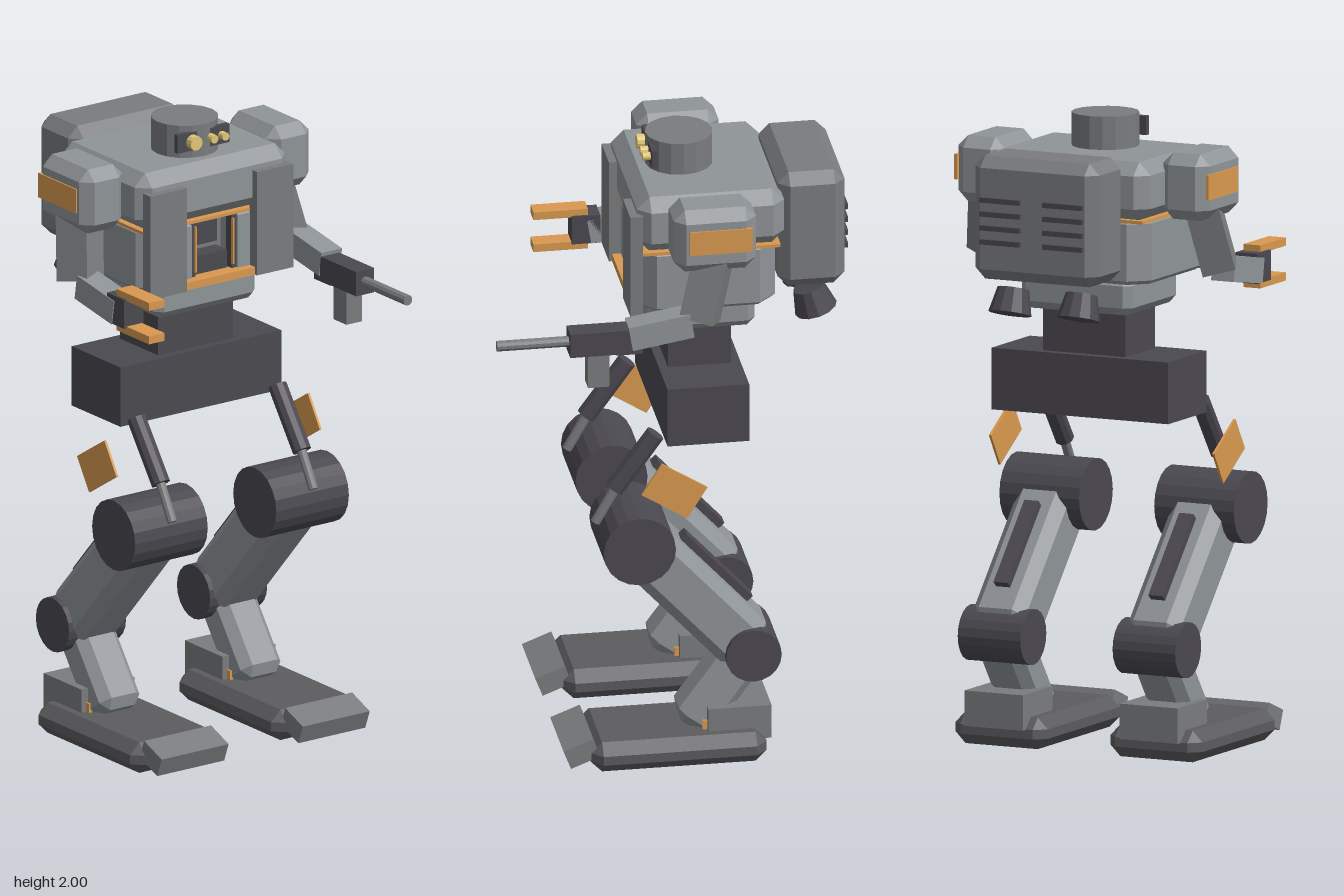
import * as THREE from 'three';
import { ConvexGeometry } from 'three/addons/geometries/ConvexGeometry.js';

const mat = (color) => new THREE.MeshStandardMaterial({ color, flatShading: true });
const V = (x, y, z) => new THREE.Vector3(x, y, z);

export function createModel() {
  const root = new THREE.Group();
  const HULL = mat(0x8f9498), PLATE = mat(0x7a7c7e), DARK = mat(0x4b4950);
  const ORANGE = mat(0xd9994f), LENS = mat(0xe3c878);

  function add(parent, name, geo, m, x = 0, y = 0, z = 0, rx = 0) {
    const mesh = new THREE.Mesh(geo, m);
    mesh.name = name;
    mesh.position.set(x, y, z);
    mesh.rotation.x = rx;
    parent.add(mesh);
    return mesh;
  }
  const box = (w, h, d) => new THREE.BoxGeometry(w, h, d);

  // Box with every edge and corner chamfered
  function chamferBox(w, h, d, c) {
    const a = w / 2, b = h / 2, e = d / 2, pts = [];
    for (const i of [-1, 1]) for (const j of [-1, 1]) for (const k of [-1, 1]) {
      pts.push(V(i * a, j * (b - c), k * (e - c)),
        V(i * (a - c), j * b, k * (e - c)),
        V(i * (a - c), j * (b - c), k * e));
    }
    return new ConvexGeometry(pts);
  }

  // Part given by its limits on each axis, chamfered when c > 0
  function block(parent, name, m, [x0, x1], [y0, y1], [z0, z1], c = 0) {
    const s = [x1 - x0, y1 - y0, z1 - z0];
    return add(parent, name, c ? chamferBox(...s, c) : box(...s), m,
      (x0 + x1) / 2, (y0 + y1) / 2, (z0 + z1) / 2);
  }

  // Geometry standing along y, laid from point p to point q
  function limb(parent, name, make, m, p, q) {
    const dir = q.clone().sub(p), len = dir.length();
    const mesh = add(parent, name, make(len), m);
    mesh.position.copy(p).add(q).multiplyScalar(0.5);
    mesh.quaternion.setFromUnitVectors(V(0, 1, 0), dir.normalize());
    return mesh;
  }

  // Head with visor and three lenses
  const head = new THREE.Group();
  head.name = 'head';
  root.add(head);
  add(head, 'turret', new THREE.CylinderGeometry(0.106, 0.106, 0.12, 16), PLATE, 0, 1.94, -0.068);
  block(head, 'visor', DARK, [-0.1, 0.1], [1.92, 1.98], [0.015, 0.033]);
  for (const [x, r] of [[-0.045, 0.023], [0.025, 0.014], [0.068, 0.013]]) {
    add(head, 'lens', new THREE.CylinderGeometry(r, r, 0.03, 12), LENS, x, 1.95, 0.043, Math.PI / 2);
  }

  // Torso
  const torso = new THREE.Group();
  torso.name = 'torso';
  root.add(torso);
  block(torso, 'upperHull', HULL, [-0.29, 0.29], [1.71, 1.895], [-0.36, 0.105], 0.04);
  block(torso, 'trimBelt', ORANGE, [-0.275, 0.275], [1.703, 1.713], [-0.345, 0.092]);

  // Lower hull: plan outline with a cockpit notch at the front (plan y is -z)
  const plan = [[-0.21, 0.325], [-0.26, 0.275], [-0.26, -0.04], [-0.22, -0.08], [-0.1, -0.08], [-0.1, 0.03],
    [0.1, 0.03], [0.1, -0.08], [0.22, -0.08], [0.26, -0.04], [0.26, 0.275], [0.21, 0.325]];
  const lower = new THREE.ExtrudeGeometry(new THREE.Shape(plan.map(([x, y]) => new THREE.Vector2(x, y))),
    { depth: 0.18, bevelEnabled: true, bevelSegments: 1, bevelSize: 0.012, bevelThickness: 0.012 });
  lower.rotateX(-Math.PI / 2);
  add(torso, 'lowerHull', lower, HULL, 0, 1.517, 0);

  // Cockpit
  block(torso, 'cockpitBack', PLATE, [-0.095, 0.095], [1.52, 1.7], [-0.04, 0.0]);
  block(torso, 'seatBack', DARK, [-0.06, 0.06], [1.6, 1.68], [-0.01, 0.02]);
  block(torso, 'seat', DARK, [-0.07, 0.07], [1.52, 1.58], [-0.01, 0.06]);
  block(torso, 'cockpitSill', ORANGE, [-0.135, 0.135], [1.5, 1.525], [0.07, 0.12]);
  for (const s of [-1, 1]) {
    add(torso, 'cockpitPost', box(0.02, 0.18, 0.03), DARK, s * 0.08, 1.615, 0.07);
    add(torso, 'cockpitTrim', box(0.006, 0.15, 0.01), ORANGE, s * 0.072, 1.615, 0.088);
    add(torso, 'chestDoor', box(0.14, 0.34, 0.04), PLATE, s * 0.205, 1.67, 0.11);
  }

  // Abdomen, waist and pelvis
  block(torso, 'abdomen', HULL, [-0.195, 0.195], [1.395, 1.515], [-0.28, 0.06], 0.025);
  block(torso, 'waist', DARK, [-0.145, 0.145], [1.25, 1.4], [-0.21, -0.01]);
  block(root, 'pelvis', DARK, [-0.31, 0.31], [1.06, 1.255], [-0.24, 0.018]);

  // Backpack with vents and thrusters
  const pack = new THREE.Group();
  pack.name = 'backpack';
  root.add(pack);
  block(pack, 'packShell', PLATE, [-0.218, 0.218], [1.525, 1.915], [-0.562, -0.35], 0.035);
  for (const s of [-1, 1]) {
    for (let i = 0; i < 4; i++) {
      add(pack, 'vent', box(0.14, 0.016, 0.02), DARK, s * 0.11, 1.78 - i * 0.044, -0.564);
    }
    add(pack, 'thruster', new THREE.CylinderGeometry(0.05, 0.068, 0.08, 12), DARK, s * 0.12, 1.45, -0.47, 0.3);
  }

  // Arms and legs, mirrored by s
  for (const s of [-1, 1]) {
    const side = s > 0 ? 'left' : 'right';
    const arm = new THREE.Group();
    arm.name = side + 'Arm';
    root.add(arm);
    add(arm, 'shoulder', chamferBox(0.165, 0.21, 0.26, 0.035), HULL, s * 0.36, 1.81, -0.115);
    add(arm, 'shoulderStripe', box(0.01, 0.08, 0.2), ORANGE, s * 0.442, 1.815, -0.13);
    limb(arm, 'upperArm', (l) => box(0.11, l, 0.105), PLATE, V(s * 0.365, 1.76, -0.125), V(s * 0.402, 1.535, -0.068));
    limb(arm, 'forearm', (l) => box(0.08, l, 0.08), HULL, V(s * 0.4, 1.53, -0.04), V(s * 0.4, 1.498, 0.155));

    const leg = new THREE.Group();
    leg.name = side + 'Leg';
    leg.position.x = s * 0.272;
    root.add(leg);
    const joint = (name, r, w, y, z) => {
      add(leg, name, new THREE.CylinderGeometry(r, r, w, 20), DARK, 0, y, z).rotation.z = Math.PI / 2;
    };
    const rod = (r) => (l) => new THREE.CylinderGeometry(r, r, l, 10);
    limb(leg, 'pistonSleeve', rod(0.031), DARK, V(0, 1.09, 0.05), V(0, 0.91, 0.18));
    limb(leg, 'pistonRod', rod(0.016), PLATE, V(0, 0.92, 0.172), V(0, 0.8, 0.24));
    add(leg, 'hipGuard', box(0.008, 0.12, 0.17), ORANGE, s * 0.12, 0.945, 0.01, -0.56);

    // Thigh, knee, shin
    const hip = V(0, 0.752, 0.122), knee = V(0, 0.352, -0.243);
    joint('hipJoint', 0.114, 0.28, hip.y, hip.z);
    limb(leg, 'thigh', (l) => chamferBox(0.186, l, 0.19, 0.035), HULL, hip, knee);
    const up = V(0, 0.674, -0.738), mid = hip.clone().add(knee).multiplyScalar(0.5).add(up.multiplyScalar(0.102));
    const half = knee.clone().sub(hip).normalize().multiplyScalar(0.155);
    limb(leg, 'thighStrip', (l) => box(0.05, l, 0.035), DARK, mid.clone().sub(half), mid.clone().add(half));
    joint('kneeJoint', 0.088, 0.22, knee.y, knee.z);
    limb(leg, 'shin', (l) => chamferBox(0.155, l, 0.14, 0.03), HULL, knee, V(0, 0.095, -0.055));

    // Foot
    add(leg, 'foot', chamferBox(0.324, 0.1, 0.555, 0.035), mat(0x5c5c60), 0, 0.05, -0.003);
    add(leg, 'toe', box(0.258, 0.065, 0.1), PLATE, 0, 0.065, 0.303, 0.37);
    add(leg, 'heel', box(0.205, 0.112, 0.2), PLATE, 0, 0.12, -0.2);
    add(leg, 'ankleTrim', box(0.17, 0.03, 0.02), ORANGE, 0, 0.115, -0.095);
  }

  // Gun on the left arm
  const gun = new THREE.Group();
  gun.name = 'gun';
  root.add(gun);
  block(gun, 'gunBody', DARK, [0.36, 0.43], [1.445, 1.525], [0.155, 0.345]);
  block(gun, 'gunMount', DARK, [0.365, 0.425], [1.44, 1.48], [0.115, 0.2]);
  block(gun, 'magazine', PLATE, [0.365, 0.425], [1.335, 1.45], [0.22, 0.288]);
  add(gun, 'barrel', new THREE.CylinderGeometry(0.017, 0.017, 0.24, 10), PLATE, 0.395, 1.487, 0.452, Math.PI / 2);

  // Claw on the right arm
  const claw = new THREE.Group();
  claw.name = 'claw';
  root.add(claw);
  block(claw, 'palm', DARK, [-0.437, -0.36], [1.46, 1.555], [0.12, 0.21]);
  for (const y of [1.5625, 1.4525]) add(claw, 'finger', box(0.06, 0.026, 0.172), ORANGE, -0.397, y, 0.244);

  return root;
}
